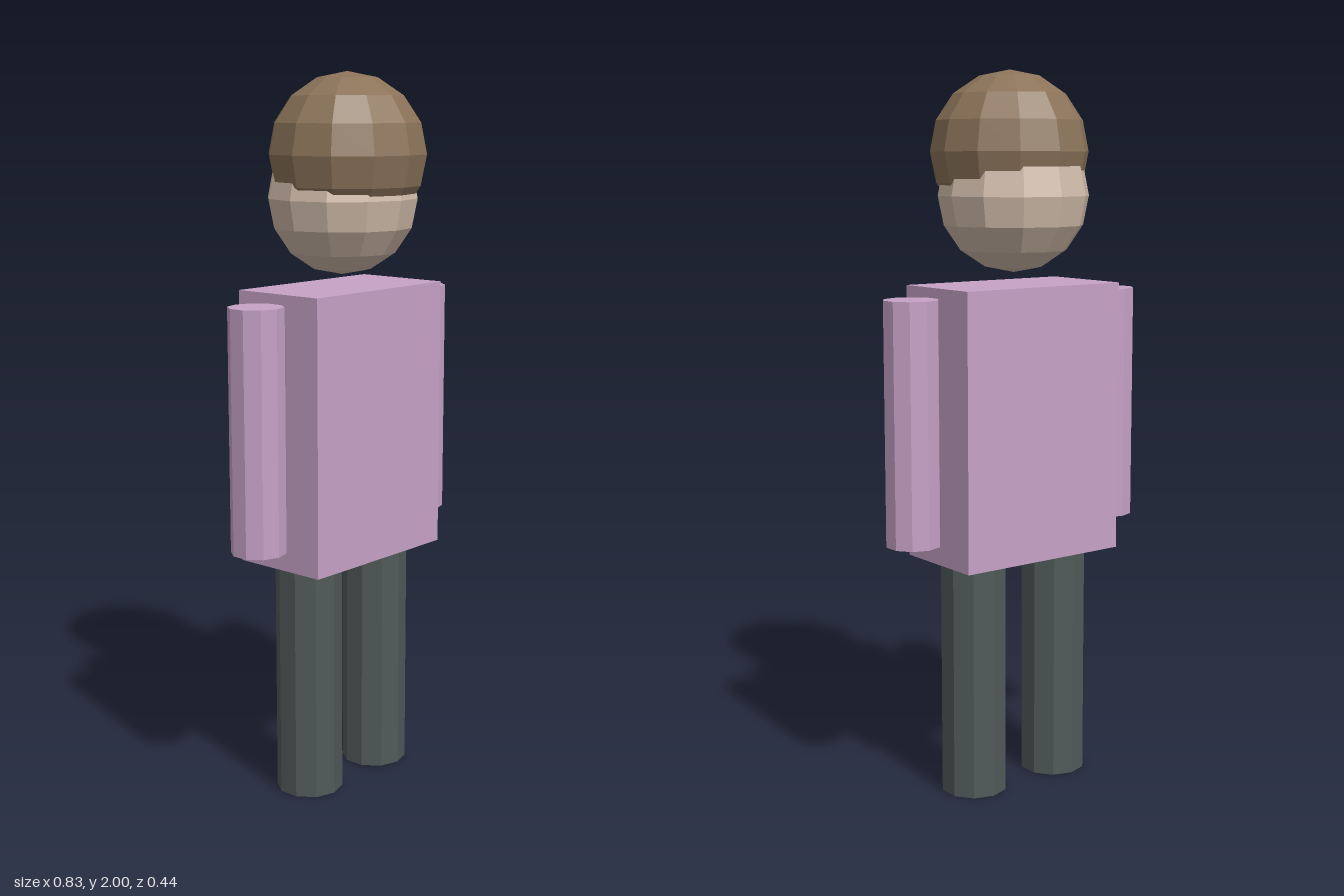
import * as THREE from 'three';

function material(name, color) {
  const m = new THREE.MeshStandardMaterial({ color, flatShading: true });
  m.name = name;
  return m;
}

export function createModel() {
  const lilac = material('lilac cloth', 0xc6a2c6);
  const slate = material('dark slate trousers', 0x505a59);
  const skin = material('skin', 0xd0bba9);
  const brown = material('brown hair', 0x8b7359);

  const model = new THREE.Group();
  model.name = 'figure';
  const bodyZ = -0.015;

  function add(name, geometry, mat, x, y, z) {
    const mesh = new THREE.Mesh(geometry, mat);
    mesh.name = name;
    mesh.position.set(x, y, z);
    model.add(mesh);
  }

  // Upright ten-sided limb between two heights
  function limb(name, mat, radius, x, bottom, top) {
    const geometry = new THREE.CylinderGeometry(radius, radius, top - bottom, 10);
    add(name, geometry, mat, x, (bottom + top) / 2, bodyZ);
  }

  // Torso block
  add('torso', new THREE.BoxGeometry(0.52, 0.756, 0.284), lilac, 0, 1.046, bodyZ);

  // Arms and legs
  for (const [side, s] of [['left', 1], ['right', -1]]) {
    limb(side + 'Arm', lilac, 0.0755, s * 0.341, 0.735, 1.398);
    limb(side + 'Leg', slate, 0.0935, s * 0.142, 0, 0.668);
  }

  // Head, with the hair as a slightly larger ball sunk over it
  add('head', new THREE.SphereGeometry(0.208, 12, 8), skin, 0, 1.664, bodyZ);
  add('hair', new THREE.SphereGeometry(0.218, 12, 8), brown, 0, 1.782, 0.003);

  return model;
}
